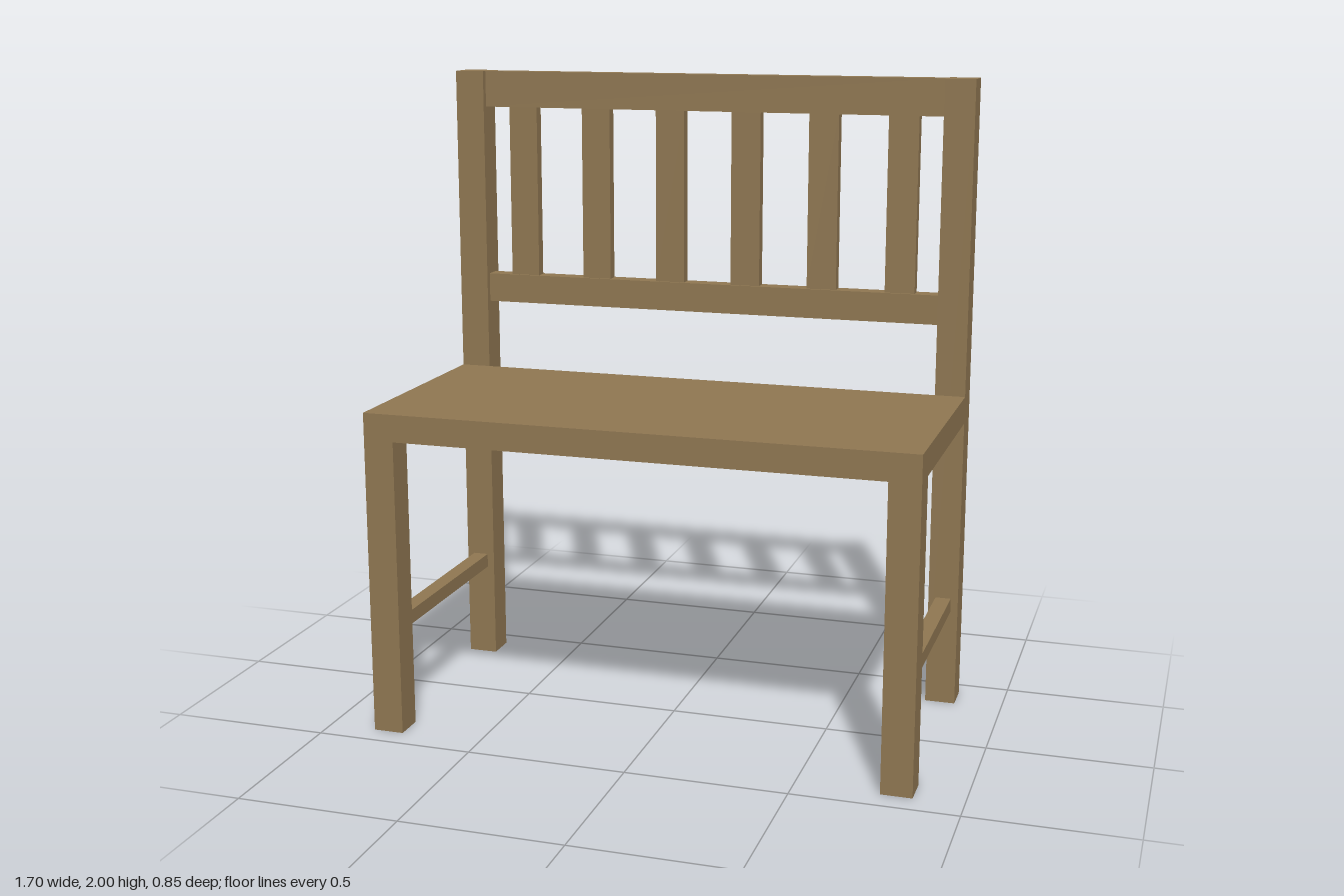
import * as THREE from 'three';

export function createModel() {
  const bench = new THREE.Group();
  bench.name = 'bench';
  const wood = new THREE.MeshStandardMaterial({ color: 0x8e7651, side: THREE.DoubleSide });
  wood.name = 'brown wood';

  // Box given by its lower and upper corners
  function addBox(name, [x0, y0, z0], [x1, y1, z1], openBottom = false) {
    const geometry = new THREE.BoxGeometry(x1 - x0, y1 - y0, z1 - z0);
    geometry.translate((x0 + x1) / 2, (y0 + y1) / 2, (z0 + z1) / 2);
    if (openBottom) {
      // Drop the underside: the fourth of the six box faces
      const index = Array.from(geometry.index.array);
      index.splice(18, 6);
      geometry.setIndex(index);
      geometry.clearGroups();
    }
    const mesh = new THREE.Mesh(geometry, wood);
    mesh.name = name;
    bench.add(mesh);
  }

  const outer = 0.85, inner = 0.755;
  const front = 0.425, back = -0.425;
  const seatBottom = 0.935, seatTop = 1.02;

  addBox('seat', [-outer, seatBottom, -0.33], [outer, seatTop, front]);

  // Legs and side stretchers, mirrored
  for (const side of [-1, 1]) {
    const label = side > 0 ? 'left' : 'right';
    const span = (a, b) => (side > 0 ? [a, b] : [-b, -a]);
    const [x0, x1] = span(inner, outer);
    const [s0, s1] = span(0.778, 0.827);
    addBox(label + 'FrontLeg', [x0, 0, 0.33], [x1, seatBottom, front], true);
    addBox(label + 'BackPost', [x0, 0, back], [x1, 2, -0.33], true);
    addBox(label + 'Stretcher', [s0, 0.31, -0.33], [s1, 0.355, 0.33]);
  }

  // Backrest rails between the posts
  addBox('topRail', [-inner, 1.885, -0.405], [inner, 2, -0.35]);
  addBox('lowerRail', [-inner, 1.24, -0.405], [inner, 1.333, -0.35]);

  // Six evenly spaced upright slats
  for (let i = 0; i < 6; i++) {
    const x = (i - 2.5) * 0.2515;
    addBox('backSlat' + (i + 1), [x - 0.0475, 1.333, -0.396], [x + 0.0475, 1.885, -0.359]);
  }

  return bench;
}
